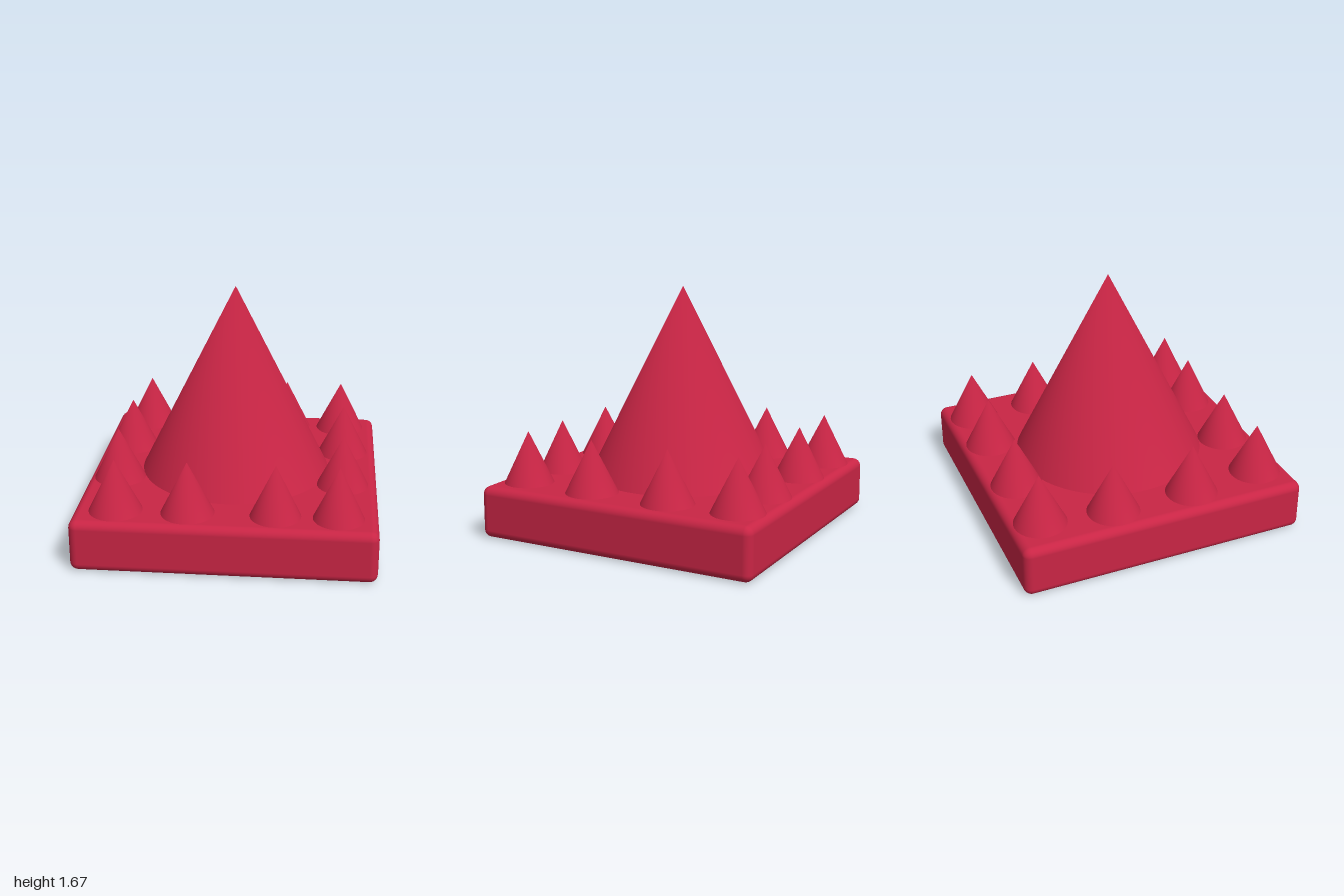
import * as THREE from 'three';
import { RoundedBoxGeometry } from 'three/addons/geometries/RoundedBoxGeometry.js';

const TOP = 0.355; // height of the slab's upper face

// Open cone standing on the slab, with its shading rounded over at the tip
function coneGeometry(radius, height, sides) {
  const geo = new THREE.ConeGeometry(radius, height, sides, 1, true);
  const { position, normal } = geo.attributes;
  for (let i = 0; i < position.count; i++) {
    if (position.getY(i) > 0) normal.setXYZ(i, 0, 1, 0);
  }
  geo.translate(0, height / 2, 0);
  return geo;
}

export function createModel() {
  const group = new THREE.Group();
  const crimson = new THREE.MeshStandardMaterial({ color: 0xc92545 });
  crimson.name = 'crimson';

  const add = (name, geo, x, y, z) => {
    const mesh = new THREE.Mesh(geo, crimson);
    mesh.name = name;
    mesh.position.set(x, y, z);
    group.add(mesh);
  };

  // Square slab with softened edges
  add('base', new RoundedBoxGeometry(2, TOP, 2, 4, 0.055), 0, TOP / 2, 0);

  // Large central cone
  add('centralCone', coneGeometry(0.657, 1.317, 96), 0, TOP, -0.015);

  // Ring of small cones: back row, front row, then the two sides
  const small = coneGeometry(0.177, 0.355, 48);
  const slim = coneGeometry(0.168, 0.355, 48);
  for (const x of [-0.72, -0.245, 0.33, 0.74]) {
    add('backSpike', small, x, TOP, -0.795);
    add('frontSpike', x > 0 ? slim : small, x, TOP, 0.78);
  }
  for (const z of [-0.31, 0.26]) {
    add('rightSpike', small, -0.785, TOP, z);
    add('leftSpike', small, 0.763, TOP, z);
  }

  return group;
}
